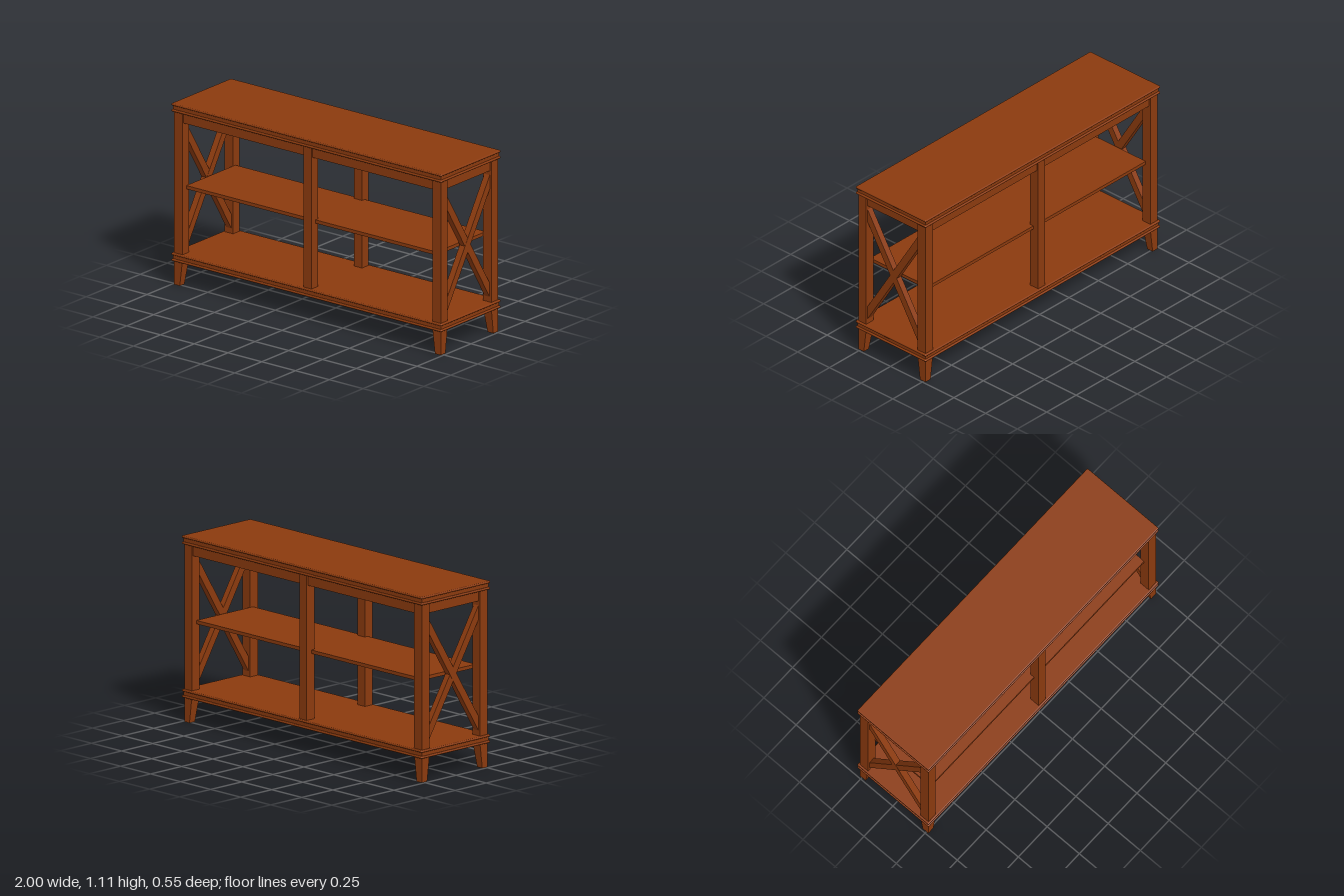
import * as THREE from 'three';
import { RoundedBoxGeometry } from 'three/addons/geometries/RoundedBoxGeometry.js';

export function createModel() {
  const group = new THREE.Group();
  const wood = new THREE.MeshStandardMaterial({ color: 0x8b3a0e });
  wood.name = 'warm brown wood';

  const add = (name, geometry, x = 0, y = 0, z = 0) => {
    const mesh = new THREE.Mesh(geometry, wood);
    mesh.name = name;
    mesh.position.set(x, y, z);
    group.add(mesh);
    return mesh;
  };
  // Box given by its lower and upper limits on each axis
  const box = (name, x0, x1, y0, y1, z0, z1) =>
    add(name, new THREE.BoxGeometry(x1 - x0, y1 - y0, z1 - z0),
      (x0 + x1) / 2, (y0 + y1) / 2, (z0 + z1) / 2);

  // Top and base boards: a recessed core between two rounded lips
  const lip = 0.014;
  const board = (name, y0, y1) => {
    box(name + 'Core', -0.991, 0.991, y0 + lip / 2, y1 - lip / 2, -0.268, 0.268);
    for (const y of [y0 + lip / 2, y1 - lip / 2])
      add(name + 'Lip', new RoundedBoxGeometry(2, lip, 0.554, 3, 0.0065), 0, y, 0);
  };
  board('top', 1.061, 1.112);
  board('base', 0.145, 0.195);

  // Foot with straight outer faces and tapered inner faces
  const foot = (sx, sz) => {
    const w = 0.061, h = 0.145;
    const g = new THREE.BoxGeometry(w, h, w);
    const p = g.attributes.position;
    for (let i = 0; i < p.count; i++) {
      if (p.getY(i) > 0) continue;
      if (p.getX(i) * sx < 0) p.setX(i, p.getX(i) + sx * 0.018);
      if (p.getZ(i) * sz < 0) p.setZ(i, p.getZ(i) + sz * 0.018);
    }
    g.computeVertexNormals();
    add('foot', g, sx * 0.9575, h / 2, sz * 0.2345);
  };

  // Corner posts, feet and middle posts
  for (const sz of [-1, 1]) {
    for (const sx of [-1, 0, 1])
      add(sx ? 'cornerPost' : 'middlePost', new THREE.BoxGeometry(sx ? 0.063 : 0.06, 0.87, 0.062),
        sx * 0.9565, 0.6275, sz * 0.234);
    for (const sx of [-1, 1]) foot(sx, sz);
    // Long apron under the top
    add('longApron', new THREE.BoxGeometry(1.86, 0.063, 0.04), 0, 1.0315, sz * 0.236);
  }

  // Slanted brace as a parallelogram between two posts
  const brace = (sx, dir, depth) => {
    const z = 0.204;
    const s = new THREE.Shape([[-z, 0.225], [z, 0.89], [z, 0.975], [-z, 0.31]]
      .map(([a, b]) => new THREE.Vector2(a, b)));
    const g = new THREE.ExtrudeGeometry(s, { depth, bevelEnabled: false });
    g.translate(0, 0, -depth / 2);
    g.rotateY(dir * Math.PI / 2);
    add('crossBrace', g, sx * 0.9565, 0, 0);
  };

  // Side aprons, crossed braces and the two shelf halves
  for (const sx of [-1, 1]) {
    add('sideApron', new THREE.BoxGeometry(0.04, 0.063, 0.42), sx * 0.9565, 1.0315, 0);
    brace(sx, 1, 0.04);
    brace(sx, -1, 0.038);
    add('shelf', new THREE.BoxGeometry(0.927, 0.021, 0.456), sx * 0.4635, 0.599, 0);
  }

  return group;
}
